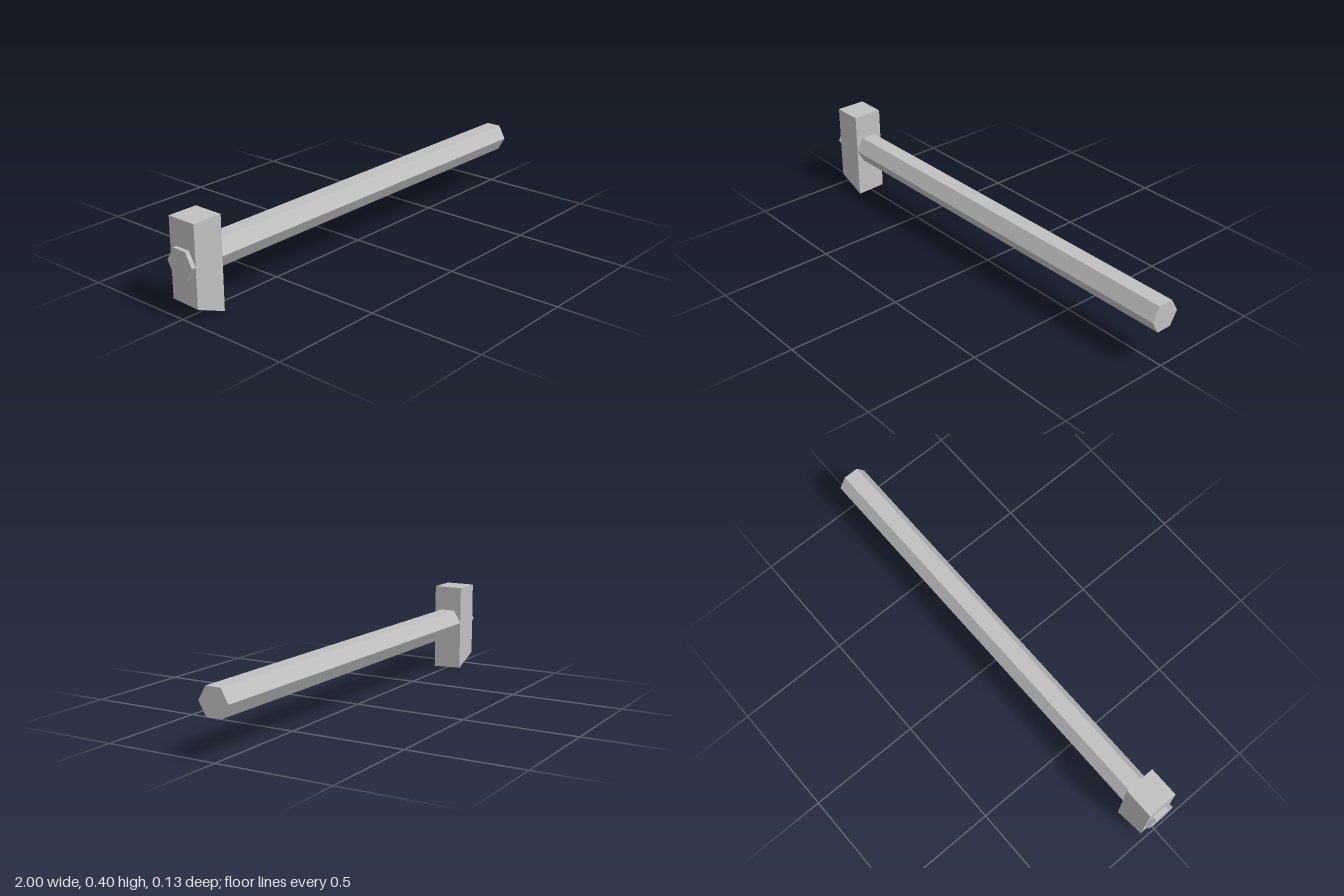
import * as THREE from 'three';

export function createModel() {
  const group = new THREE.Group();
  const steel = new THREE.MeshStandardMaterial({ color: 0xc0c0c0 });
  steel.name = 'steel grey';
  steel.flatShading = true;

  const add = (name, geometry) => {
    const mesh = new THREE.Mesh(geometry, steel);
    mesh.name = name;
    group.add(mesh);
  };

  // Hexagonal shaft along x, with corners pointing to front and back
  const shaft = new THREE.CylinderGeometry(0.067, 0.067, 2, 6);
  shaft.rotateZ(Math.PI / 2).translate(0, 0.225, 0);
  add('shaft', shaft);

  // Block head with a slanted underside, tilted slightly from front to back
  const head = new THREE.BoxGeometry(0.133, 0.395, 0.134);
  head.translate(-0.9155, 0.1975, 0);
  const pos = head.attributes.position;
  for (let i = 0; i < pos.count; i++) {
    if (pos.getY(i) > 0.1) continue;
    const outer = pos.getX(i) < -0.9155;
    const back = pos.getZ(i) < 0;
    pos.setY(i, (outer ? 0.055 : 0) + (back ? 0.005 : 0));
  }
  head.computeVertexNormals();
  add('head', head);

  return group;
}
